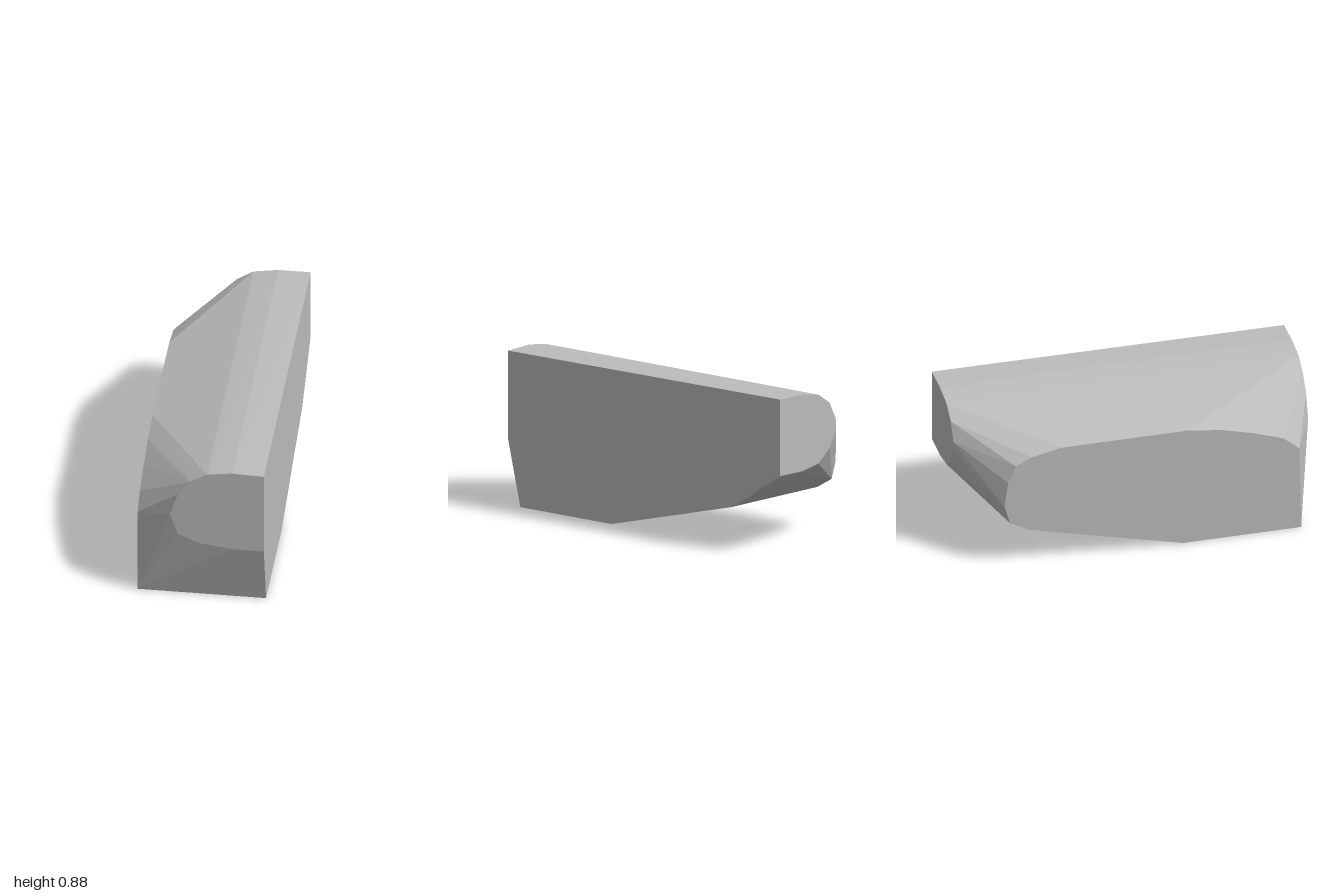
import * as THREE from 'three';
import { ConvexGeometry } from 'three/addons/geometries/ConvexGeometry.js';

export function createModel() {
  const group = new THREE.Group();
  group.name = 'facetedBlock';
  const grey = new THREE.MeshStandardMaterial({ color: 0xbcbcbc });
  grey.name = 'lightGrey';

  const W = 0.356; // half width

  // rounded front end, [x, y] at z = 1
  const front = [[W, 0.37], [0.18, 0.37], [0, 0.395], [-0.12, 0.445], [-0.165, 0.57],
    [-0.12, 0.71], [-0.05, 0.8], [0.04, 0.853], [0.18, 0.873], [W, 0.866]];
  // rounded back end, [x, y] at z = -1
  const back = [[W, 0.445], [0.177, 0.443], [0.04, 0.465], [-0.053, 0.537], [-0.105, 0.63],
    [-0.105, 0.693], [-0.053, 0.793], [0.04, 0.853], [0.177, 0.875], [W, 0.875]];
  // underside line shared by both sides, [z, y]
  const keel = [[0.91, 0], [0.24, 0], [-0.64, 0.22], [-0.745, 0.28]];
  // curved upper outline of the narrow side, [z, y] at x = -W
  const shoulder = [[0.9, 0.505], [0.81, 0.583], [0.64, 0.642], [0.46, 0.69], [0.26, 0.717],
    [-0.45, 0.717], [-0.62, 0.68], [-0.71, 0.636], [-0.755, 0.538], [-0.775, 0.385]];

  const points = [
    ...front.map(([x, y]) => new THREE.Vector3(x, y, 1)),
    ...back.map(([x, y]) => new THREE.Vector3(x, y, -1)),
    ...shoulder.map(([z, y]) => new THREE.Vector3(-W, y, z)),
  ];
  for (const x of [-W, W]) {
    for (const [z, y] of keel) points.push(new THREE.Vector3(x, y, z));
  }

  // flat facets stretched over the outlines
  const body = new THREE.Mesh(new ConvexGeometry(points), grey);
  body.name = 'body';
  group.add(body);
  return group;
}
